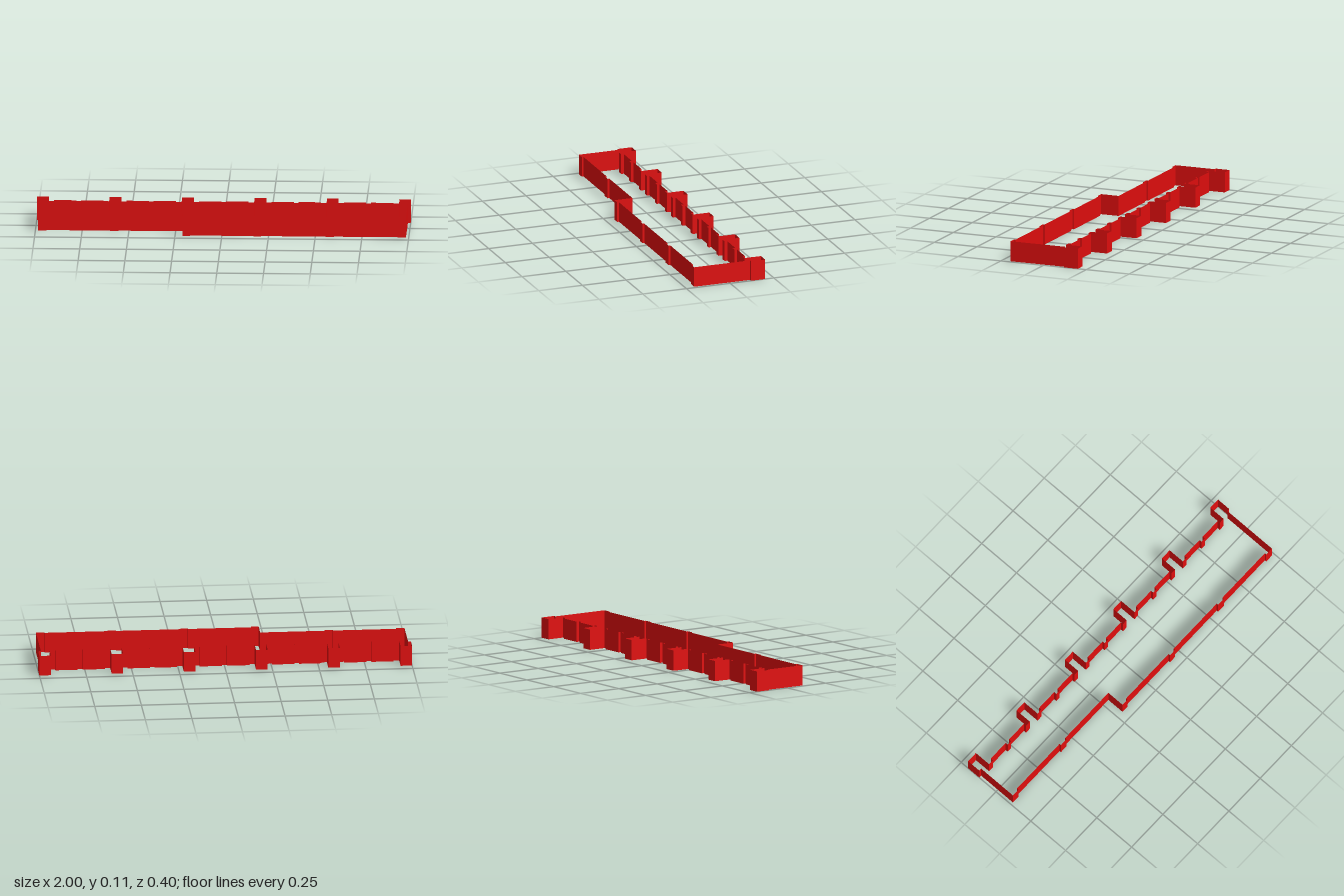
import * as THREE from 'three';

const HEIGHT = 0.11;
const material = new THREE.MeshStandardMaterial({ color: 0xe00e0e, side: THREE.DoubleSide, flatShading: true });

// Upright paper-thin band following a plan path of [x, z] corners
function band(name, path) {
  const positions = [];
  for (let i = 0; i < path.length - 1; i++) {
    const [x0, z0] = path[i], [x1, z1] = path[i + 1];
    positions.push(x0, 0, z0, x1, 0, z1, x1, HEIGHT, z1);
    positions.push(x0, 0, z0, x1, HEIGHT, z1, x0, HEIGHT, z0);
  }
  const geometry = new THREE.BufferGeometry();
  geometry.setAttribute('position', new THREE.Float32BufferAttribute(positions, 3));
  geometry.computeVertexNormals();
  const mesh = new THREE.Mesh(geometry, material);
  mesh.name = name;
  return mesh;
}

// Front wall that steps forward at each shallow pilaster [xStart, xEnd]
function pilasterPath(pilasters, wallZ, pilasterZ) {
  return pilasters.flatMap(([a, b]) => [[a, wallZ], [a, pilasterZ], [b, pilasterZ], [b, wallZ]]);
}

export function createModel() {
  const group = new THREE.Group();
  group.name = 'wallBand';

  const END = 0.985, STEP_X = -0.21;
  const FRONT = 0.2, RECESSED_FRONT = 0.108, RELIEF = 0.01;
  const BACK_WALL = -0.12, INNER = -0.105, POST_BACK = -0.2;
  const POST_WIDTH = 0.062, SPACING = (2 - POST_WIDTH) / 5;

  // Recessed left-hand part of the front, ending at the step
  const recessed = pilasterPath([[-END, -0.94], [-0.6, -0.555]], RECESSED_FRONT - RELIEF, RECESSED_FRONT);
  recessed.shift();
  recessed.push([STEP_X, RECESSED_FRONT - RELIEF]);
  group.add(band('recessedFrontWall', recessed));

  // Step joining the two front planes
  group.add(band('frontStep', [[STEP_X, RECESSED_FRONT - RELIEF], [STEP_X, FRONT]]));

  // Projecting part of the front
  const projecting = pilasterPath([[STEP_X, -0.17], [0.17, 0.21], [0.555, 0.6], [0.94, END]], FRONT - RELIEF, FRONT);
  projecting.shift();
  projecting.pop();
  group.add(band('projectingFrontWall', projecting));

  // End walls, each stepping out to its corner post
  group.add(band('leftEndWall', [[END, FRONT], [END, BACK_WALL], [1, BACK_WALL]]));
  group.add(band('rightEndWall', [[-END, RECESSED_FRONT], [-END, BACK_WALL], [-1, BACK_WALL]]));

  // Back: hollow projecting posts with wall bays between them
  for (let i = 0; i < 6; i++) {
    const x0 = -1 + i * SPACING, x1 = x0 + POST_WIDTH;
    group.add(band('backPost', [
      [x0, i === 0 ? BACK_WALL : INNER], [x0, POST_BACK],
      [x1, POST_BACK], [x1, i === 5 ? BACK_WALL : INNER],
    ]));
    if (i === 5) break;
    const next = x0 + SPACING, mid = (x1 + next) / 2, strip = 0.03, half = 0.013;
    group.add(band('backBay', [
      [x1, INNER], [x1 + strip, INNER], [x1 + strip, BACK_WALL],
      [mid - half, BACK_WALL], [mid - half, INNER], [mid + half, INNER], [mid + half, BACK_WALL],
      [next - strip, BACK_WALL], [next - strip, INNER], [next, INNER],
    ]));
  }
  return group;
}
